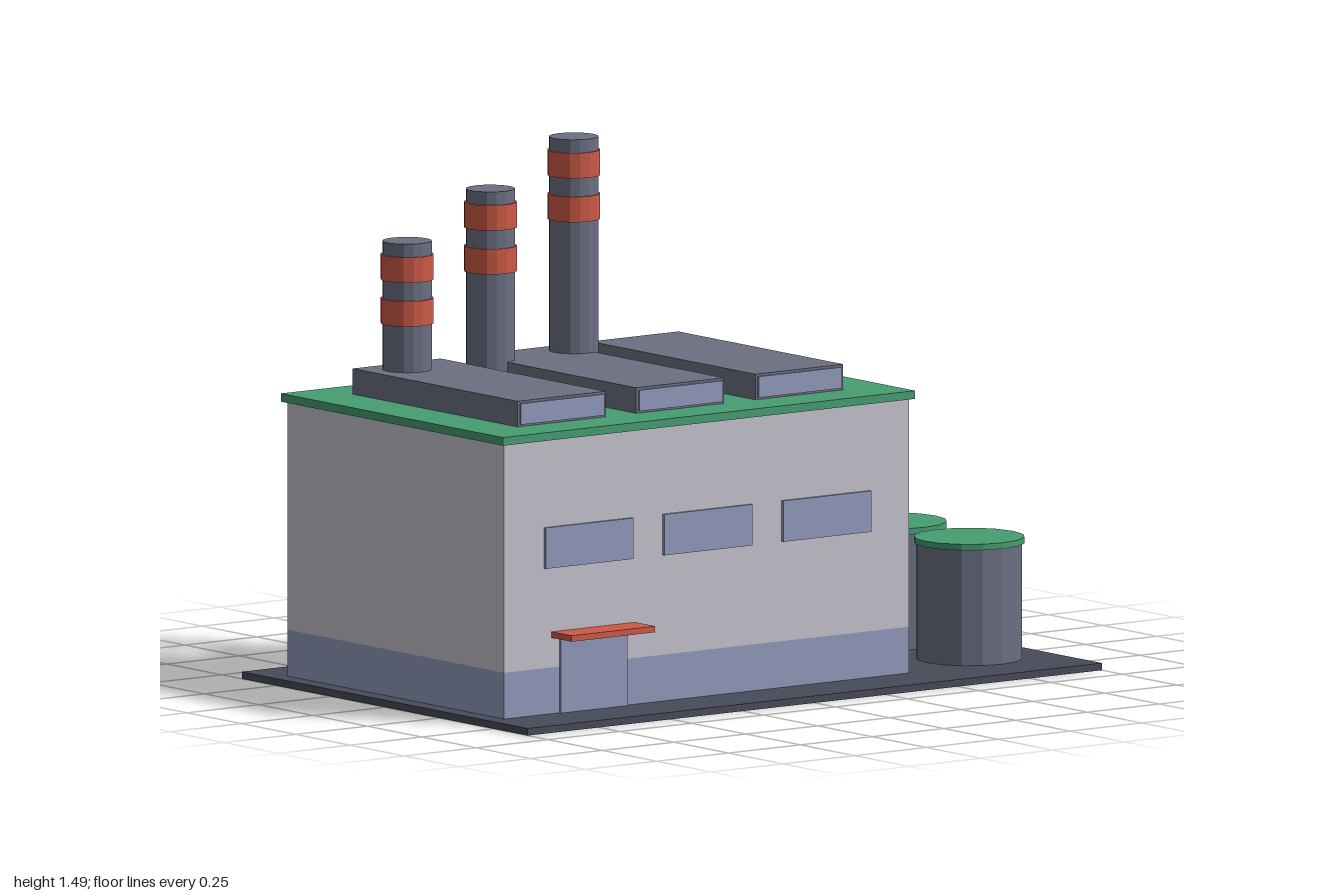
import * as THREE from 'three';

const mat = (name, color) => {
  const m = new THREE.MeshStandardMaterial({ color, flatShading: true });
  m.name = name;
  return m;
};

export function createModel() {
  const model = new THREE.Group();
  model.name = 'factory';
  const slab = mat('dark slab', 0x474b59);
  const wall = mat('pale wall', 0xc4c3cc);
  const blue = mat('blue grey', 0x909abb);
  const grey = mat('steel grey', 0x6b6f82);
  const green = mat('green', 0x469d71);
  const red = mat('red', 0xce5a48);

  // Box given by its limits on each axis
  const box = (name, material, [x0, x1], [y0, y1], [z0, z1], parent = model) => {
    const mesh = new THREE.Mesh(new THREE.BoxGeometry(x1 - x0, y1 - y0, z1 - z0), material);
    mesh.position.set((x0 + x1) / 2, (y0 + y1) / 2, (z0 + z1) / 2);
    mesh.name = name;
    parent.add(mesh);
  };
  // Upright faceted cylinder from y0 to y1
  const drum = (name, material, r, x, z, y0, y1, parent) => {
    const mesh = new THREE.Mesh(new THREE.CylinderGeometry(r, r, y1 - y0, 16), material);
    mesh.position.set(x, (y0 + y1) / 2, z);
    mesh.name = name;
    parent.add(mesh);
  };
  const group = (name) => {
    const g = new THREE.Group();
    g.name = name;
    model.add(g);
    return g;
  };

  // Ground slab and main hall
  box('groundSlab', slab, [-1, 1], [0, 0.02], [-0.657, 0.657]);
  box('wallBase', blue, [-0.947, 0.462], [0.02, 0.15], [-0.517, 0.479]);
  box('walls', wall, [-0.947, 0.462], [0.15, 0.79], [-0.517, 0.479]);
  box('roof', green, [-0.96, 0.475], [0.79, 0.813], [-0.531, 0.491]);

  // Entrance
  box('door', blue, [-0.755, -0.523], [0.02, 0.233], [0.479, 0.487]);
  box('doorCanopy', red, [-0.782, -0.491], [0.233, 0.25], [0.479, 0.571]);

  // Three bays: window, roof skylight and chimney
  [-0.656, -0.243, 0.172].forEach((x) => {
    const w = 0.153;
    box('window', blue, [x - w, x + w], [0.43, 0.545], [0.479, 0.488]);
    const skylight = group('skylight');
    box('skylightBody', grey, [x - w, x + w], [0.813, 0.885], [-0.4, 0.358], skylight);
    box('skylightGlass', blue, [x - w + 0.008, x + w - 0.008], [0.819, 0.878], [0.358, 0.364], skylight);
  });

  // Striped chimneys rising towards the middle
  [-0.695, -0.405, -0.115].forEach((x, i) => {
    const z = -0.3, top = 1.246 + i * 0.12;
    const chimney = group('chimney');
    drum('chimneyStack', grey, 0.069, x, z, 0.813, top, chimney);
    [0.037, 0.16].forEach((d) => drum('chimneyBand', red, 0.074, x, z, top - d - 0.071, top - d, chimney));
  });

  // Row of storage tanks
  [-0.358, 0, 0.358].forEach((z) => {
    const tank = group('tank');
    drum('tankBody', grey, 0.148, 0.764, z, 0.02, 0.345, tank);
    drum('tankLid', green, 0.155, 0.764, z, 0.345, 0.362, tank);
  });

  return model;
}
